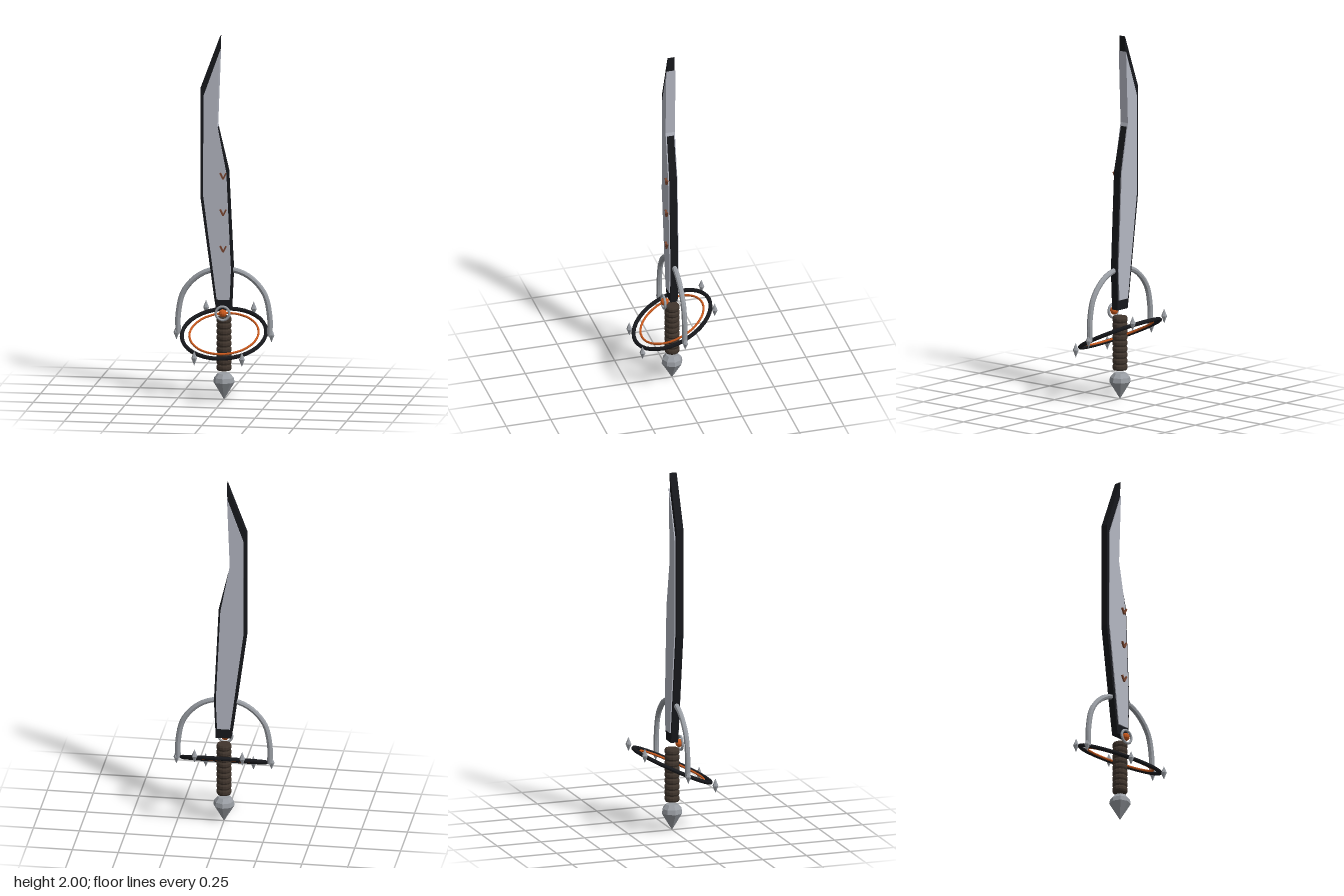
import * as THREE from 'three';

const mat = (color, flatShading = true) => new THREE.MeshStandardMaterial({ color, flatShading, side: THREE.DoubleSide });
const BLACK = mat(0x17181c), STEEL = mat(0xb4b7c2), SILVER = mat(0x9a9ea4);
const ORANGE = mat(0xc8581c), BROWN = mat(0x40352d), RUNE = mat(0x7a4630);

export function createModel() {
  const sword = new THREE.Group();

  function add(name, geometry, material, x = 0, y = 0, z = 0, parent = sword) {
    const mesh = new THREE.Mesh(geometry, material);
    mesh.name = name;
    mesh.position.set(x, y, z);
    parent.add(mesh);
    return mesh;
  }

  // flat outline extruded evenly to both sides of z = 0
  function slab(points, half) {
    const shape = new THREE.Shape(points.map(([x, y]) => new THREE.Vector2(x, y)));
    return new THREE.ExtrudeGeometry(shape, { depth: half * 2, bevelEnabled: false }).translate(0, 0, -half);
  }

  // blade: dark body with a thicker steel plate inside its outline
  add('bladeBody', slab([
    [-0.04, 0.5], [0.042, 0.5], [0.052, 0.72], [0.026, 1.26], [-0.036, 1.52],
    [-0.018, 2], [-0.126, 1.71], [-0.126, 1.12], [-0.05, 0.56],
  ], 0.02), BLACK);
  add('bladePlate', slab([
    [-0.036, 0.555], [0.034, 0.555], [0.041, 0.72], [0.016, 1.25], [-0.035, 1.52],
    [-0.02, 1.915], [-0.108, 1.67], [-0.11, 1.125],
  ], 0.026), STEEL);

  // V marks on the front of the blade
  for (const y of [0.835, 1.035, 1.235]) {
    const mark = new THREE.Group();
    mark.name = 'bladeMark';
    mark.position.set(0, y, 0.03);
    for (const s of [-1, 1]) {
      const stroke = add('markStroke', new THREE.BoxGeometry(0.008, 0.036, 0.012), RUNE, s * 0.008, 0, 0, mark);
      stroke.rotation.z = -s * 0.45;
    }
    sword.add(mark);
  }

  // ribbed grip
  const ribs = 9, bottom = 0.165, pitch = 0.295 / ribs;
  const profile = [new THREE.Vector2(0, bottom)];
  for (let i = 0; i < ribs; i++) {
    const y = bottom + i * pitch;
    profile.push(new THREE.Vector2(0.036, y), new THREE.Vector2(0.041, y + pitch * 0.3), new THREE.Vector2(0.041, y + pitch * 0.7));
  }
  profile.push(new THREE.Vector2(0.036, 0.46), new THREE.Vector2(0, 0.46));
  add('grip', new THREE.LatheGeometry(profile, 14), BROWN);

  // faceted pommel
  add('pommel', new THREE.LatheGeometry(
    [[0, 0.005], [0.058, 0.1], [0.054, 0.125], [0.034, 0.148], [0, 0.148]].map(([r, y]) => new THREE.Vector2(r, y)), 8), SILVER);

  // gem in its ring
  add('gemRing', new THREE.TorusGeometry(0.037, 0.007, 8, 24), SILVER, 0, 0.485, 0.048);
  add('gem', new THREE.SphereGeometry(0.022, 12, 8), ORANGE, 0, 0.485, 0.042);

  // tilted guard rings
  const tilt = 0.445, guardY = 0.365;
  const outer = add('outerGuardRing', new THREE.TorusGeometry(0.228, 0.011, 8, 36), BLACK, 0, guardY, 0);
  const inner = add('innerGuardRing', new THREE.TorusGeometry(0.187, 0.006, 8, 36), ORANGE, 0, guardY, 0);
  outer.rotation.x = inner.rotation.x = Math.PI / 2 + tilt;
  // the front of both rings dips below the back
  outer.rotation.x = inner.rotation.x = -Math.PI / 2 + tilt;

  // hand bow arching through the blade
  const bow = new THREE.CatmullRomCurve3([
    [-0.25, 0.36], [-0.249, 0.47], [-0.218, 0.595], [-0.125, 0.69], [0, 0.722],
    [0.125, 0.69], [0.218, 0.595], [0.249, 0.47], [0.25, 0.36],
  ].map(([x, y]) => new THREE.Vector3(x, y, 0)));
  add('handBow', new THREE.TubeGeometry(bow, 36, 0.015, 8), SILVER);

  // six-sided spikes around the guard
  const spike = new THREE.LatheGeometry(
    [[0, -0.04], [0.016, 0], [0, 0.04]].map(([r, y]) => new THREE.Vector2(r, y)), 6).rotateY(Math.PI / 6);
  for (const s of [-1, 1]) {
    add('sideSpike', spike, SILVER, s * 0.259, guardY, 0);
    add('frontSpike', spike, SILVER, s * 0.13, 0.265, 0.202);
    add('backSpike', spike, SILVER, s * 0.13, 0.468, -0.202);
  }

  return sword;
}
